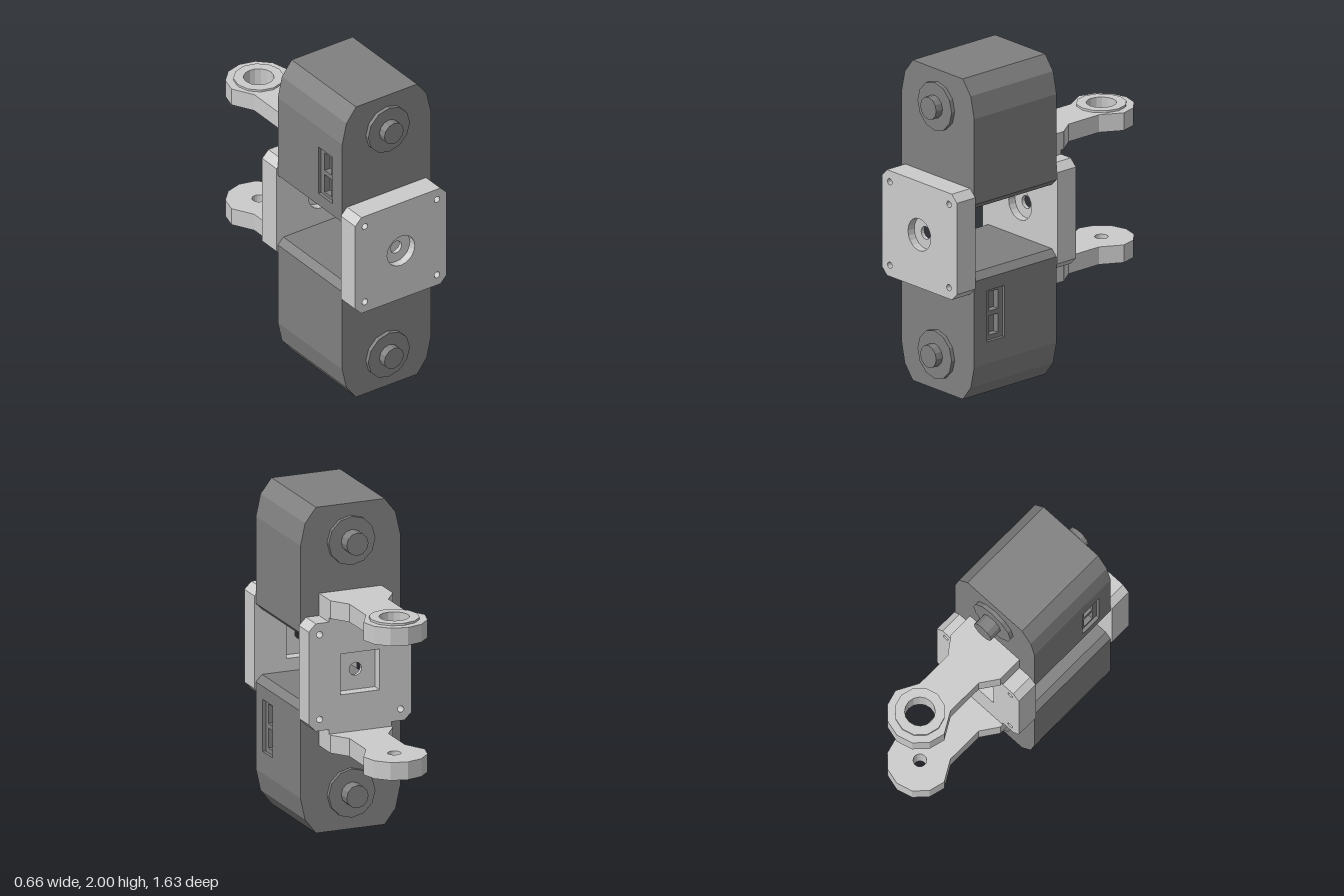
import * as THREE from 'three';

const light = new THREE.MeshStandardMaterial({ color: 0xcccccc, flatShading: true });
const dark = new THREE.MeshStandardMaterial({ color: 0x808080, flatShading: true });

const pts = (list) => list.map(([x, y]) => new THREE.Vector2(x, y));
const ring = (cx, cy, r, n) => Array.from({ length: n }, (_, i) => {
  const a = (i / n) * Math.PI * 2;
  return [cx + r * Math.cos(a), cy + r * Math.sin(a)];
});
const rect = (x0, y0, x1, y1) => [[x0, y0], [x1, y0], [x1, y1], [x0, y1]];
const mirrorX = (half) => [...half, ...half.slice().reverse().map(([x, y]) => [-x, y])];

// Prism with holes, extruded along +z
function prism(outline, holes, depth) {
  const shape = new THREE.Shape(pts(outline));
  holes.forEach((h) => shape.holes.push(new THREE.Path(pts(h))));
  return new THREE.ExtrudeGeometry(shape, { depth, bevelEnabled: false });
}

function add(parent, name, geometry, material) {
  const mesh = new THREE.Mesh(geometry, material);
  mesh.name = name;
  parent.add(mesh);
  return mesh;
}

// Motor with its shaft axis near the bottom; the port faces +x
function motor(name) {
  const g = new THREE.Group();
  g.name = name;
  const z0 = 0.02, z1 = 0.67, axisY = 0.225;
  const body = [
    [0.22, 0], [0.29, 0.09], [0.32, 0.225], [0.26, 0.225], [0.26, 0.76], [0.32, 0.76], [0.28, 0.8],
    [-0.28, 0.8], [-0.32, 0.76], [-0.32, 0.225], [-0.29, 0.09], [-0.22, 0],
  ];
  add(g, 'motorBody', prism(body, [], z1 - z0).translate(0, 0, z0), dark);

  // Side wall in two layers: shallow port recess, then two deeper sockets
  const wall = rect(z0, 0.225, z1, 0.76);
  const side = (holes, x0, x1) =>
    prism(wall, holes, x1 - x0).rotateY(-Math.PI / 2).translate(x1, 0, 0);
  add(g, 'portFrame', side([rect(0.43, 0.36, 0.57, 0.68)], 0.3, 0.32), dark);
  add(g, 'portSockets', side([
    rect(0.465, 0.39, 0.535, 0.51), rect(0.465, 0.54, 0.535, 0.66),
  ], 0.26, 0.3), dark);

  // Bearing collars and the output shaft at both ends
  const rod = (n, r, a, b) => add(g, n, new THREE.CylinderGeometry(r, r, b - a, 12)
    .rotateX(Math.PI / 2).translate(0, axisY, (a + b) / 2), dark);
  rod('frontCollar', 0.15, z1, 0.695);
  rod('backCollar', 0.15, -0.005, z0);
  rod('frontShaft', 0.07, z1, 0.745);
  rod('backShaft', 0.07, -0.085, z0);
  return g;
}

// Mounting plate: round counterbore in front, square pocket behind, screw holes in the corners
function mountingPlate(name, z) {
  const g = new THREE.Group();
  g.name = name;
  const w = 0.33, c = 0.285;
  const outline = [[c, -w], [w, -c], [w, c], [c, w], [-c, w], [-w, c], [-w, -c], [-c, -w]];
  const screws = [];
  for (const sx of [-1, 1]) for (const sy of [-1, 1]) screws.push(ring(sx * 0.26, sy * 0.26, 0.02, 12));
  const layer = (n, hole, a, b) =>
    add(g, n, prism(outline, [hole, ...screws], b - a).translate(0, 0, a), light);
  layer('pocketLayer', rect(-0.125, -0.125, 0.125, 0.125), 0, 0.07);
  layer('webLayer', ring(0, 0, 0.04, 16), 0.07, 0.095);
  layer('counterboreLayer', ring(0, 0, 0.1, 20), 0.095, 0.145);
  g.position.set(0, 1.003, z);
  return g;
}

// Hinge arm reaching backwards, with a round eye at its end
function hingeArm(name, y0, y1, holeR, washerR, washerY, washerH) {
  const g = new THREE.Group();
  g.name = name;
  const eye = 0.62, r = 0.197;
  const tip = [0, 30, 60].map((d) => {
    const a = THREE.MathUtils.degToRad(d);
    return [r * Math.cos(a), eye + r * Math.sin(a)];
  });
  const half = [[0.2, -0.02], [0.2, 0.145], [0.125, 0.25], [0.125, 0.49], ...tip];
  const outline = [...half, [0, eye + r], ...half.slice().reverse().map(([x, y]) => [-x, y])];
  const flat = (shape, holes, a, h) => prism(shape, holes, h).rotateX(-Math.PI / 2).translate(0, a, 0);
  const hole = ring(0, eye, holeR, 16);
  add(g, 'armBar', flat(outline, [hole], y0, y1 - y0), light);
  add(g, 'eyeWasher', flat(ring(0, eye, washerR, 12), [hole], washerY, washerH), light);
  return g;
}

export function createModel() {
  const model = new THREE.Group();
  model.name = 'doubleMotorJoint';

  // The upper motor is the lower one turned half round the front axis
  const upper = motor('upperMotor');
  upper.rotation.z = Math.PI;
  upper.position.y = 2;
  model.add(motor('lowerMotor'), upper);

  model.add(mountingPlate('frontPlate', 0.67), mountingPlate('backPlate', -0.124));

  model.add(
    hingeArm('upperArm', 1.36, 1.47, 0.09, 0.15, 1.47, 0.013),
    hingeArm('lowerArm', 0.535, 0.645, 0.04, 0.095, 0.523, 0.012),
  );
  // Blocks joining the arms to the back plate
  for (const [name, y] of [['upperArmRoot', 1.347], ['lowerArmRoot', 0.659]]) {
    add(model, name, new THREE.BoxGeometry(0.4, 0.03, 0.144).translate(0, y, -0.052), light);
  }
  return model;
}
